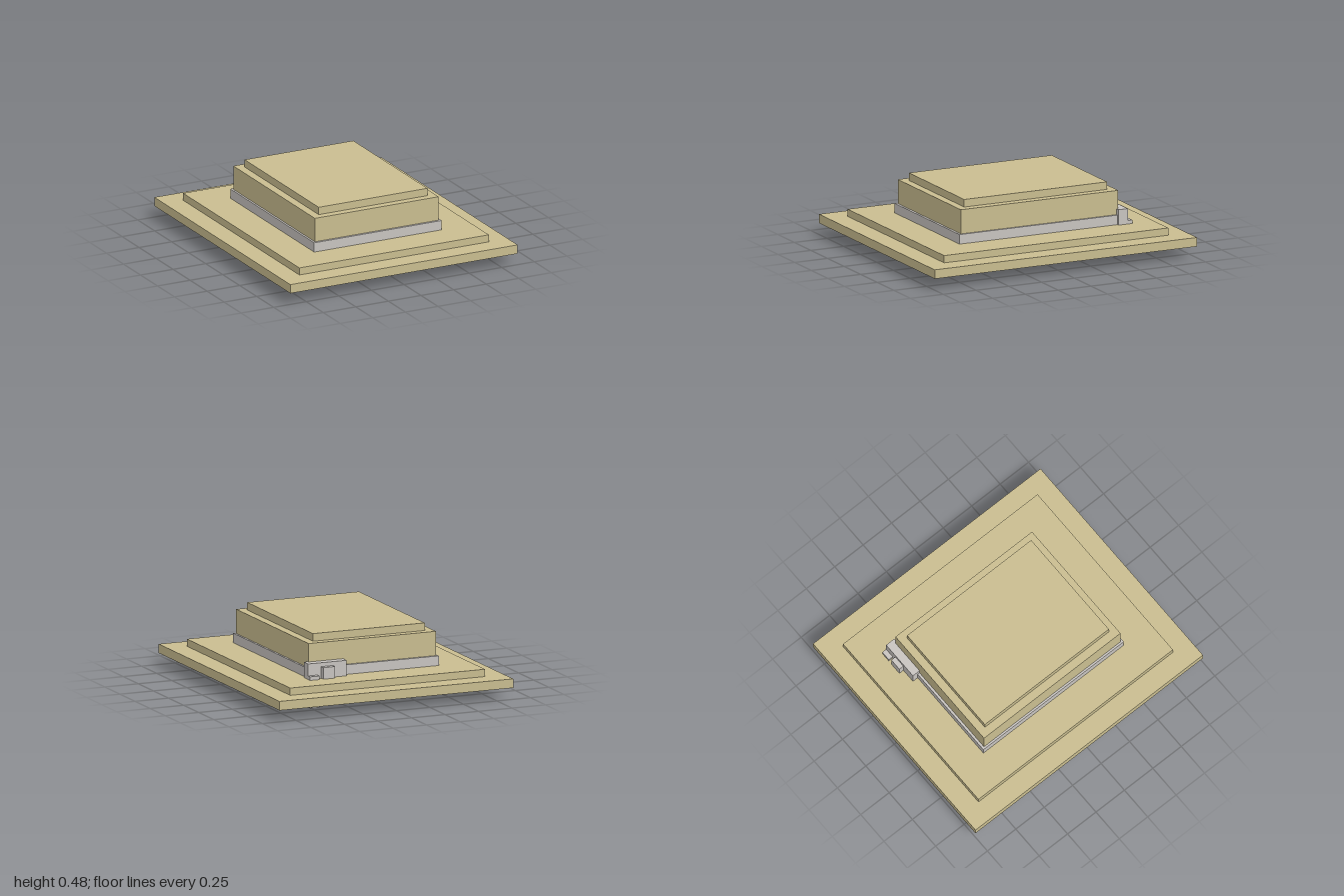
import * as THREE from 'three';

export function createModel() {
  const model = new THREE.Group();
  model.name = 'steppedPlatform';

  const sand = new THREE.MeshStandardMaterial({ color: 0xc9bd90 });
  sand.name = 'sand';
  const grey = new THREE.MeshStandardMaterial({ color: 0xc8c4c0 });
  grey.name = 'lightGrey';

  // Adds a box given its extent along each axis
  function block(name, material, [x0, x1], [y0, y1], [z0, z1]) {
    const mesh = new THREE.Mesh(new THREE.BoxGeometry(x1 - x0, y1 - y0, z1 - z0), material);
    mesh.position.set((x0 + x1) / 2, (y0 + y1) / 2, (z0 + z1) / 2);
    mesh.name = name;
    model.add(mesh);
  }

  // Centred tiers, bottom to top: name, material, half width, half depth, bottom, top
  const tiers = [
    ['basePlate', sand, 0.872, 1.0, 0.08, 0.143],
    ['lowerStep', sand, 0.727, 0.855, 0.143, 0.194],
    ['greyBand', grey, 0.489, 0.617, 0.194, 0.261],
    ['mainBlock', sand, 0.475, 0.6, 0.261, 0.43],
    ['topSlab', sand, 0.417, 0.545, 0.43, 0.483],
  ];
  for (const [name, material, w, d, y0, y1] of tiers) {
    block(name, material, [-w, w], [y0, y1], [-d, d]);
  }

  // Fitting on the back left corner, with a post passing down through the base
  block('backBracket', grey, [0.217, 0.505], [0.194, 0.302], [-0.658, -0.587]);
  block('bracketLug', grey, [0.32, 0.407], [0.194, 0.275], [-0.693, -0.658]);
  block('post', grey, [0.435, 0.505], [0, 0.219], [-0.692, -0.62]);

  return model;
}
